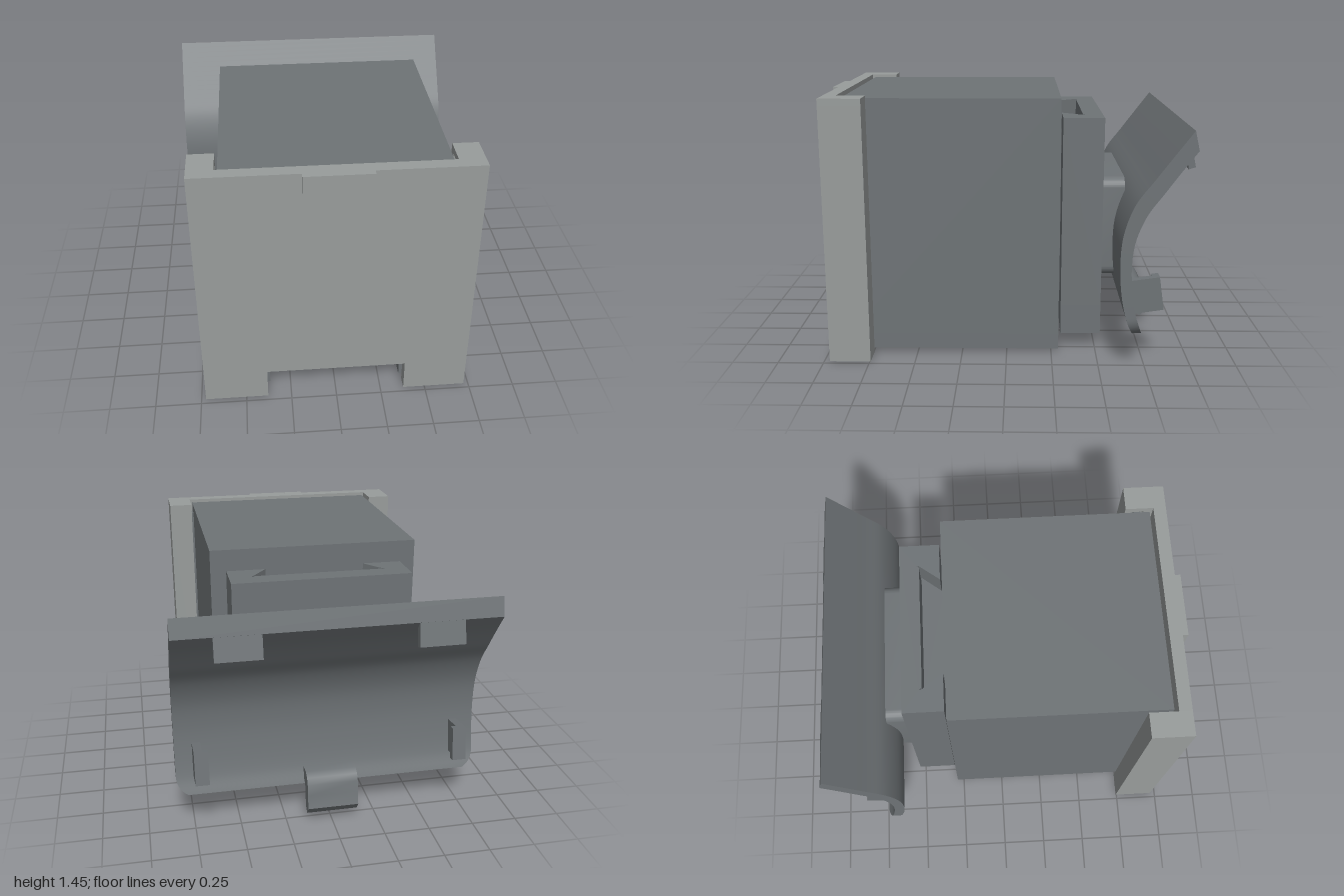
import * as THREE from 'three';
import { toCreasedNormals } from 'three/addons/utils/BufferGeometryUtils.js';

const coverGrey = new THREE.MeshStandardMaterial({ color: 0x989c9b });
coverGrey.name = 'coverGrey';
const bodyGrey = new THREE.MeshStandardMaterial({ color: 0x6e7376 });
bodyGrey.name = 'bodyGrey';

const toShape = (pts) => new THREE.Shape(pts.map(([a, b]) => new THREE.Vector2(a, b)));
const extrude = (shape, depth) =>
  new THREE.ExtrudeGeometry(shape, { depth, bevelEnabled: false, curveSegments: 8 });

// Block given by its limits on each axis
function block([x0, x1], [y0, y1], [z0, z1]) {
  return new THREE.BoxGeometry(x1 - x0, y1 - y0, z1 - z0)
    .translate((x0 + x1) / 2, (y0 + y1) / 2, (z0 + z1) / 2);
}

// Floor outline of [x, z] points raised from y0 to y1
function raise(pts, y0, y1) {
  return extrude(toShape(pts.map(([x, z]) => [x, -z])), y1 - y0)
    .rotateX(-Math.PI / 2).translate(0, y0, 0);
}

// Side outline of [z, y] points swept from x0 to x1
function sweep(pts, x0, x1) {
  return extrude(toShape(pts.map(([z, y]) => [-z, y])), x1 - x0)
    .rotateY(Math.PI / 2).translate(x0, 0, 0);
}

// Curved plate: a subdivided box bent between a front and a back curve
function curvedPlate() {
  const curve = (pts) => new THREE.CatmullRomCurve3(
    pts.map(([z, y]) => new THREE.Vector3(0, y, z)), false, 'centripetal');
  const front = curve([[-0.68, 0.187], [-0.64, 0.28], [-0.608, 0.42], [-0.595, 0.6],
    [-0.608, 0.76], [-0.665, 0.92], [-0.76, 1.05], [-0.855, 1.177], [-0.95, 1.303]]);
  const back = curve([[-0.725, 0.198], [-0.692, 0.29], [-0.666, 0.43], [-0.655, 0.58],
    [-0.67, 0.72], [-0.725, 0.86], [-0.81, 0.98], [-0.89, 1.09], [-0.974, 1.2]]);
  const geo = new THREE.BoxGeometry(1, 1, 1, 1, 64, 1);
  const pos = geo.attributes.position;
  for (let i = 0; i < pos.count; i++) {
    const s = pos.getY(i) + 0.5;
    const t = s * (0.3 + 0.7 * s); // rows lie closer near the rounded bottom corners
    const p = (pos.getZ(i) > 0 ? front : back).getPoint(t);
    const drop = Math.max(0, 1 - (p.y - 0.187) / 0.11);
    const half = 0.73 + 0.11 * Math.sqrt(Math.max(0, 1 - drop * drop));
    pos.setXYZ(i, Math.sign(pos.getX(i)) * half, p.y, p.z);
  }
  return toCreasedNormals(geo, 0.6);
}

// Neck with rounded corners joining slider and plate
function neck() {
  const w = 0.42, b = 0.4, t = 0.97, r = 0.06;
  const s = new THREE.Shape();
  s.absarc(w - r, t - r, r, 0, Math.PI / 2);
  s.absarc(-w + r, t - r, r, Math.PI / 2, Math.PI);
  s.absarc(-w + r, b + r, r, Math.PI, Math.PI * 1.5);
  s.absarc(w - r, b + r, r, Math.PI * 1.5, Math.PI * 2);
  return toCreasedNormals(extrude(s, 0.125).translate(0, 0, -0.655), 0.6);
}

export function createModel() {
  const model = new THREE.Group();
  model.name = 'mountedBox';
  const add = (name, geo, mat) => {
    const mesh = new THREE.Mesh(geo, mat);
    mesh.name = name;
    model.add(mesh);
  };

  // Body with a recess under its front edge
  add('body', block([-0.575, 0.575], [0.11, 1.43], [-0.29, 0.88]), bodyGrey);
  add('bodyBase', raise([[-0.575, -0.29], [0.575, -0.29], [0.575, 0.88], [0.365, 0.88],
    [0.365, 0.48], [-0.365, 0.48], [-0.365, 0.88], [-0.575, 0.88]], 0.02, 0.11), bodyGrey);

  // Front cover panel with bottom notch, and finger tab
  const panel = toShape([[-0.59, 0], [-0.38, 0], [-0.38, 0.18], [0.38, 0.18],
    [0.38, 0], [0.59, 0], [0.59, 1.445], [-0.59, 1.445]]);
  add('coverPanel', extrude(panel, 0.07).translate(0, 0, 0.9), coverGrey);
  add('coverTab', block([-0.175, 0.175], [1.34, 1.445], [0.97, 1.0]), coverGrey);

  for (const side of [1, -1]) {
    const label = side > 0 ? 'left' : 'right';
    const spanX = (a, b) => (side > 0 ? [a, b] : [-b, -a]);

    // Hollow cover channel, open towards the body, closed on top
    const channel = [[0.59, 0.745], [0.725, 0.745], [0.725, 0.97], [0.59, 0.97], [0.59, 0.85],
      [0.615, 0.85], [0.615, 0.935], [0.695, 0.935], [0.695, 0.775], [0.615, 0.775],
      [0.615, 0.79], [0.59, 0.79]];
    add(label + 'CoverChannel', raise(channel.map(([x, z]) => [x * side, z]), 0, 1.41), coverGrey);
    add(label + 'CoverCap', block(spanX(0.59, 0.725), [1.41, 1.445], [0.745, 0.97]), coverGrey);
    add(label + 'GuideRail', block(spanX(0.57, 0.64), [0.2, 1.38], [0.8, 0.84]), bodyGrey);

    // Hooks along the top of the plate
    add(label + 'TopHook', sweep([[-0.92, 1.15], [-0.945, 1.16], [-0.963, 1.065], [-1.0, 1.077],
      [-0.973, 1.203], [-0.94, 1.21]], ...spanX(0.395, 0.635)), bodyGrey);

    // Side clips near the bottom of the plate, with an inward lip
    add(label + 'SideClip', sweep([[-0.66, 0.48], [-0.818, 0.503], [-0.845, 0.32],
      [-0.69, 0.297]], ...spanX(0.7, 0.745)), bodyGrey);
    add(label + 'SideClipLip', sweep([[-0.78, 0.497], [-0.818, 0.503], [-0.845, 0.32],
      [-0.805, 0.314]], ...spanX(0.67, 0.7)), bodyGrey);
  }

  // Dovetail on the body's back and the slider that runs on it
  add('dovetail', raise([[-0.26, -0.29], [-0.26, -0.305], [-0.345, -0.415], [0.345, -0.415],
    [0.26, -0.305], [0.26, -0.29]], 0.255, 1.2), bodyGrey);
  add('slider', raise([[-0.49, -0.305], [-0.49, -0.53], [0.49, -0.53], [0.49, -0.305],
    [0.275, -0.305], [0.365, -0.425], [0.365, -0.435], [0.35, -0.42], [-0.35, -0.42],
    [-0.365, -0.435], [-0.365, -0.425], [-0.275, -0.305]], 0.25, 1.315), bodyGrey);
  add('sliderBase', block([-0.49, 0.49], [0.08, 0.25], [-0.53, -0.305]), bodyGrey);
  add('neck', neck(), bodyGrey);

  // Curved holder plate and its bottom clip
  add('holderPlate', curvedPlate(), bodyGrey);
  add('bottomClip', toCreasedNormals(sweep([[-0.68, 0.29], [-0.76, 0.29], [-0.795, 0.27],
    [-0.815, 0.235], [-0.82, 0.17], [-0.838, 0.1], [-0.803, 0.055], [-0.763, 0.08],
    [-0.755, 0.16], [-0.74, 0.21], [-0.69, 0.22]], -0.14, 0.14), 0.6), bodyGrey);
  return model;
}
